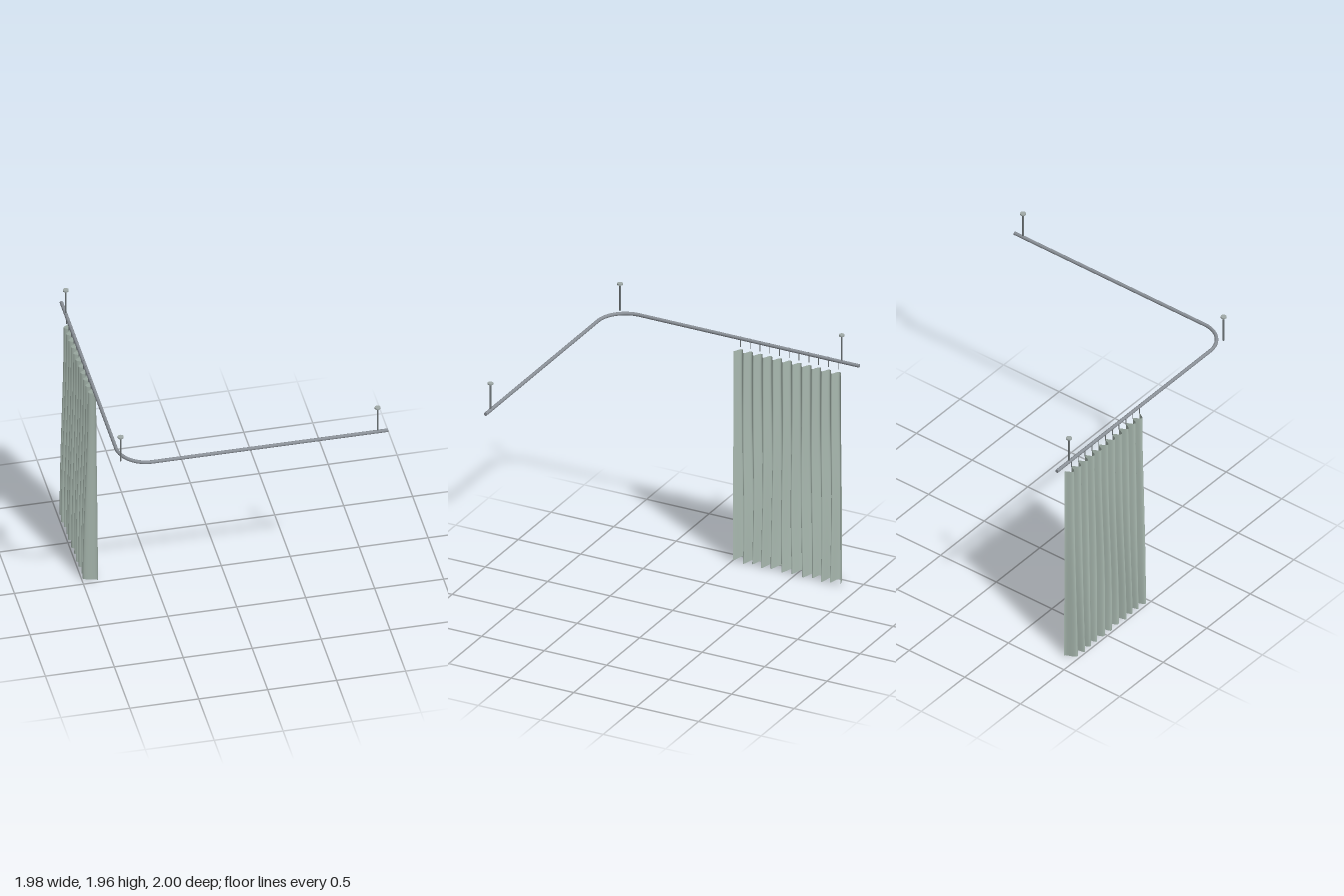
import * as THREE from 'three';

const RAIL_Y = 1.755, RAIL_X = -0.935, RAIL_Z = 0.975, BEND = 0.215, RAIL_R = 0.013;
const FOLDS = 11, Z_START = -0.01, Z_END = -0.87, TOP = 1.66, HEM = 0.012;

const material = (name, color, extra = {}) => {
  const m = new THREE.MeshStandardMaterial({ color, ...extra });
  m.name = name;
  return m;
};

function part(name, geometry, mat, x = 0, y = 0, z = 0) {
  const mesh = new THREE.Mesh(geometry, mat);
  mesh.name = name;
  mesh.position.set(x, y, z);
  return mesh;
}

// L-shaped rail: two straight runs joined by a quarter bend
function makeRail(mat) {
  const rail = new THREE.Group();
  rail.name = 'rail';
  const zEnd = RAIL_Z - BEND, xStart = RAIL_X + BEND;
  const sideLen = zEnd + 1, frontLen = 0.99 - xStart;
  const side = new THREE.CylinderGeometry(RAIL_R, RAIL_R, sideLen, 16).rotateX(Math.PI / 2);
  const front = new THREE.CylinderGeometry(RAIL_R, RAIL_R, frontLen, 16).rotateZ(Math.PI / 2);
  const bend = new THREE.TorusGeometry(BEND, RAIL_R, 16, 24, Math.PI / 2)
    .rotateZ(Math.PI / 2).rotateX(Math.PI / 2);
  rail.add(
    part('sideRail', side, mat, RAIL_X, RAIL_Y, -1 + sideLen / 2),
    part('frontRail', front, mat, xStart + frontLen / 2, RAIL_Y, RAIL_Z),
    part('railBend', bend, mat, xStart, RAIL_Y, zEnd)
  );
  return rail;
}

// Ceiling support: thin rod with a round mounting plate
function makeSupport(x, z, rodMat, plateMat) {
  const support = new THREE.Group();
  support.name = 'ceilingSupport';
  support.add(
    part('supportRod', new THREE.CylinderGeometry(0.006, 0.006, 0.21, 12), rodMat, 0, 1.86, 0),
    part('ceilingPlate', new THREE.CylinderGeometry(0.021, 0.021, 0.011, 20), plateMat, 0, 1.965, 0)
  );
  support.position.set(x, 0, z);
  return support;
}

// Pleated sheet: folds deepen and sway slightly toward the hem
function makeCurtain(mat) {
  const geometry = new THREE.PlaneGeometry(1, 1, FOLDS * 16, 24);
  const pos = geometry.attributes.position;
  for (let i = 0; i < pos.count; i++) {
    const u = pos.getX(i) + 0.5, down = 0.5 - pos.getY(i);
    const spread = THREE.MathUtils.smoothstep(down, 0, 1);
    const phase = u * FOLDS * Math.PI * 2;
    const depth = 0.026 + 0.021 * spread + 0.004 * spread * Math.sin(u * 23 + 1);
    const wave = Math.cos(phase + 0.25 * Math.sin(phase));
    const edge = Math.min(1, 12 * u, 12 * (1 - u));
    const sway = edge * down * 0.009 * Math.sin(down * 5 + u * 9);
    const x = RAIL_X + 0.004 - 0.012 * spread + depth * wave;
    const hem = HEM + 0.006 * Math.sin(phase * 0.5 + 1);
    pos.setXYZ(i, x, THREE.MathUtils.lerp(TOP, hem, down),
      THREE.MathUtils.lerp(Z_START, Z_END, u) + sway);
  }
  geometry.computeVertexNormals();
  return part('curtain', geometry, mat);
}

export function createModel() {
  const model = new THREE.Group();
  model.name = 'curtainTrack';
  const railMetal = material('rail grey', 0x8a9097);
  const hookMetal = material('dark metal', 0x70777a);
  const plateMetal = material('plate grey', 0xa0aaa8);
  const fabric = material('sage fabric', 0xa9b9b0, { side: THREE.DoubleSide });

  model.add(makeRail(railMetal), makeCurtain(fabric));

  for (const [x, z] of [[RAIL_X, -0.86], [RAIL_X, 0.915], [0.915, RAIL_Z]]) {
    model.add(makeSupport(x, z, hookMetal, plateMetal));
  }

  // One hook above the middle of each fold
  const hook = new THREE.CylinderGeometry(0.003, 0.003, 0.08, 8);
  for (let i = 0; i < FOLDS; i++) {
    const z = THREE.MathUtils.lerp(Z_START, Z_END, (i + 0.5) / FOLDS);
    model.add(part('curtainHook', hook, hookMetal, RAIL_X, 1.73, z));
  }
  return model;
}
